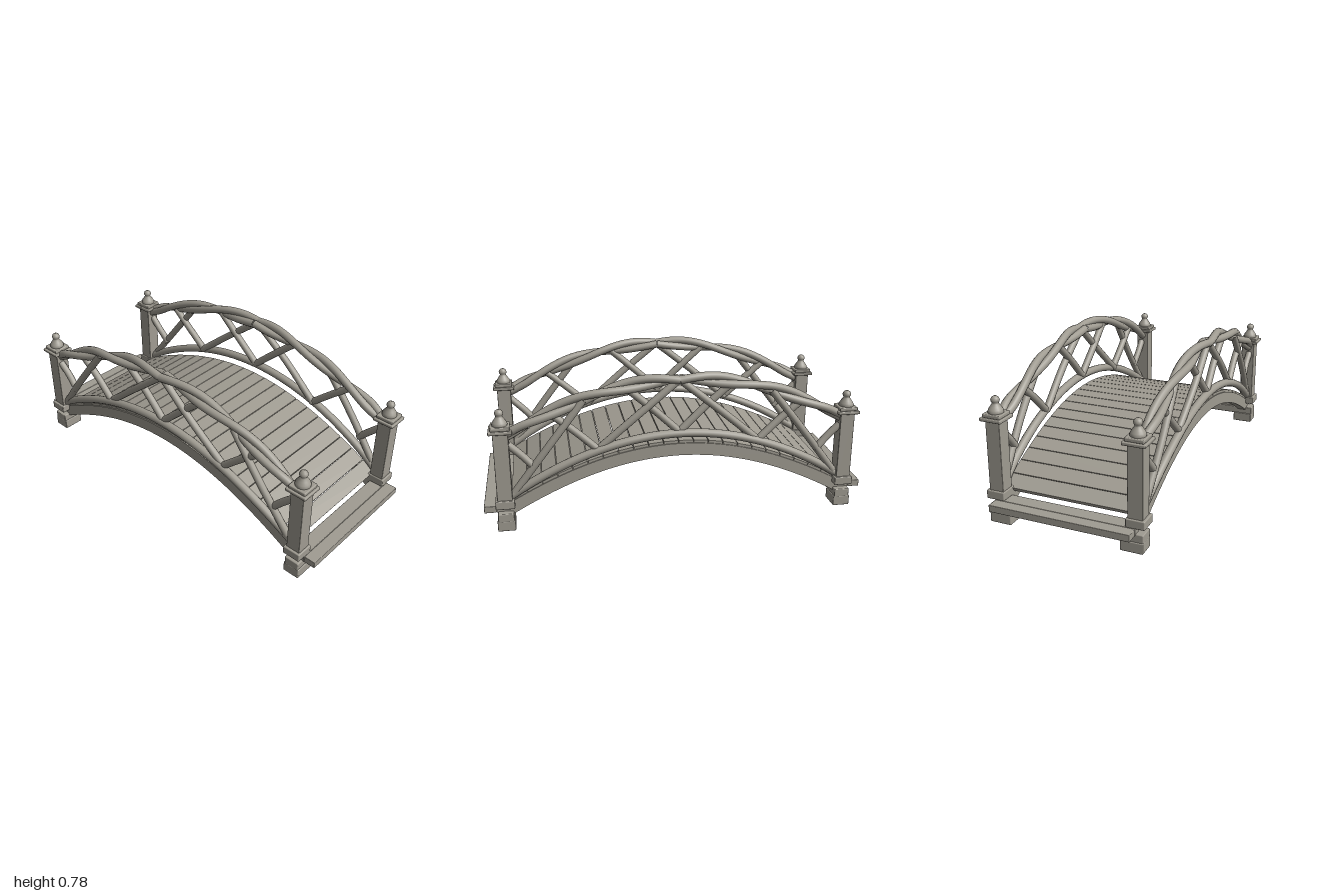
import * as THREE from 'three';
import { RoundedBoxGeometry } from 'three/addons/geometries/RoundedBoxGeometry.js';

const POST_X = 0.891, POST_Z = 0.362;
const V = (x, y, z) => new THREE.Vector3(x, y, z);

// Arch heights along the span
const deckTop = x => 0.42 - 0.38 * x ** 2 + 0.04 * x ** 4;
const beamBottom = x => 0.34 - 0.385 * x ** 2 + 0.035 * x ** 4;
const lowRail = x => 0.468 - 0.39 * x ** 2;
const topRail = x => 0.75 - 0.33 * x ** 2;
// Railings bow outwards slightly at mid span
const lowRailZ = x => 0.362 + 0.02 * (1 - (x / 0.88) ** 4);

export function createModel() {
  const model = new THREE.Group();
  model.name = 'archedFootbridge';
  const stone = new THREE.MeshStandardMaterial({ color: 0xa09c92 });
  stone.name = 'weatheredGrey';

  const add = (name, geometry, parent = model) => {
    const mesh = new THREE.Mesh(geometry, stone);
    mesh.name = name;
    parent.add(mesh);
    return mesh;
  };
  // Softly bevelled block given by its centre, bottom and top
  const block = (name, x, z, y0, y1, w, d, parent, bevel = 0.005) => {
    const mesh = add(name, new RoundedBoxGeometry(w, y1 - y0, d, 2, bevel), parent);
    mesh.position.set(x, (y0 + y1) / 2, z);
    return mesh;
  };
  const tube = (name, points, radius, parent, segments = 60) =>
    add(name, new THREE.TubeGeometry(new THREE.CatmullRomCurve3(points), segments, radius, 12), parent);
  // Samples a function of x into points
  const sample = (x0, x1, n, fn) =>
    Array.from({ length: n + 1 }, (_, i) => fn(x0 + (x1 - x0) * i / n));

  // Deck planks following the arch
  const deck = new THREE.Group();
  deck.name = 'deck';
  model.add(deck);
  const pitch = 0.0782;
  for (let i = -11; i < 11; i++) {
    const xa = i * pitch, xb = xa + pitch;
    const ya = deckTop(xa), yb = deckTop(xb);
    const angle = Math.atan2(yb - ya, pitch);
    const length = Math.hypot(pitch, yb - ya) - 0.004;
    const plank = add('plank', new THREE.BoxGeometry(length, 0.022, 0.722), deck);
    plank.rotation.z = angle;
    plank.position.set((xa + xb) / 2 + Math.sin(angle) * 0.011,
      (ya + yb) / 2 - Math.cos(angle) * 0.011, 0);
  }

  // Arched side beams
  const arch = new THREE.Shape();
  const upper = sample(-0.87, 0.87, 40, x => new THREE.Vector2(x, deckTop(x) - 0.015));
  const lower = sample(0.87, -0.87, 40, x => new THREE.Vector2(x, beamBottom(x)));
  arch.setFromPoints([...upper, ...lower]);
  for (const z of [-0.367, 0.317]) {
    const beam = add('sideBeam', new THREE.ExtrudeGeometry(arch, { depth: 0.05, bevelEnabled: false }));
    beam.position.z = z;
  }

  // Turned finial on each post
  const finial = new THREE.LatheGeometry([
    [0.037, 0.555], [0.039, 0.566], [0.035, 0.577], [0.026, 0.59], [0.018, 0.602], [0.016, 0.608],
    [0.02, 0.614], [0.022, 0.622], [0.018, 0.633], [0.009, 0.64], [0, 0.641],
  ].map(p => new THREE.Vector2(...p)), 20);

  for (const sx of [-1, 1]) {
    // Flat end planks and cross sill
    block('thresholdPlank', sx * 0.899, 0, 0.09, 0.126, 0.076, 0.73, deck, 0.003);
    block('endPlank', sx * 0.969, 0, 0.09, 0.126, 0.062, 0.73, deck, 0.003);
    block('crossSill', sx * POST_X, 0, 0.05, 0.095, 0.08, 0.806);

    for (const sz of [-1, 1]) {
      const post = new THREE.Group();
      post.name = 'post';
      model.add(post);
      const x = sx * POST_X, z = sz * POST_Z;
      block('foot', x, sz * 0.346, 0, 0.055, 0.09, 0.114, post);
      block('postBase', x, sz * 0.365, 0.125, 0.169, 0.096, 0.096, post);
      block('postShaft', x, z, 0.16, 0.535, 0.076, 0.076, post, 0.003);
      block('capSlab', x, z, 0.525, 0.542, 0.116, 0.116, post);
      block('capBlock', x, z, 0.541, 0.56, 0.096, 0.096, post);
      add('finial', finial, post).position.set(x, 0, z);
    }
  }

  // Branch-like railings
  for (const sz of [-1, 1]) {
    const railing = new THREE.Group();
    railing.name = 'railing';
    model.add(railing);

    tube('lowerRail', sample(-0.88, 0.88, 16, x => V(x, lowRail(x), sz * lowRailZ(x))),
      0.022, railing, 80);

    for (const sx of [-1, 1]) {
      // Pair of twisted handrail strands, mirrored about mid span
      for (const phase of [0, Math.PI]) {
        tube('handrailStrand', sample(0, 0.88, 24, x => {
          const a = phase + x / 0.72 * Math.PI * 2;
          const grip = 0.019 * Math.min(1, 0.3 + (0.88 - x) * 6);
          return V(sx * x, topRail(x) + grip * Math.sin(a), sz * (0.366 + grip * Math.cos(a)));
        }), 0.0215, railing, 72);
      }

      // Lattice branches: start, end, sideways bend
      const branches = [
        [0.86, 0.46, 0.73, 0.325, -0.006],
        [0.84, 0.20, 0.48, 0.67, 0.006],
        [0.65, 0.61, 0.41, 0.40, -0.006],
        [0.42, 0.40, 0, 0.75, 0.006],
        [0.27, 0.72, 0, 0.475, -0.006],
      ];
      for (const [x0, y0, x1, y1, bend] of branches) {
        tube('latticeBranch', [
          V(sx * x0, y0, sz * 0.37),
          V(sx * (x0 + x1) / 2, (y0 + y1) / 2 + 0.004, sz * (0.374 + bend)),
          V(sx * x1, y1, sz * 0.374),
        ], 0.0195, railing, 16);
      }
    }
  }
  return model;
}
